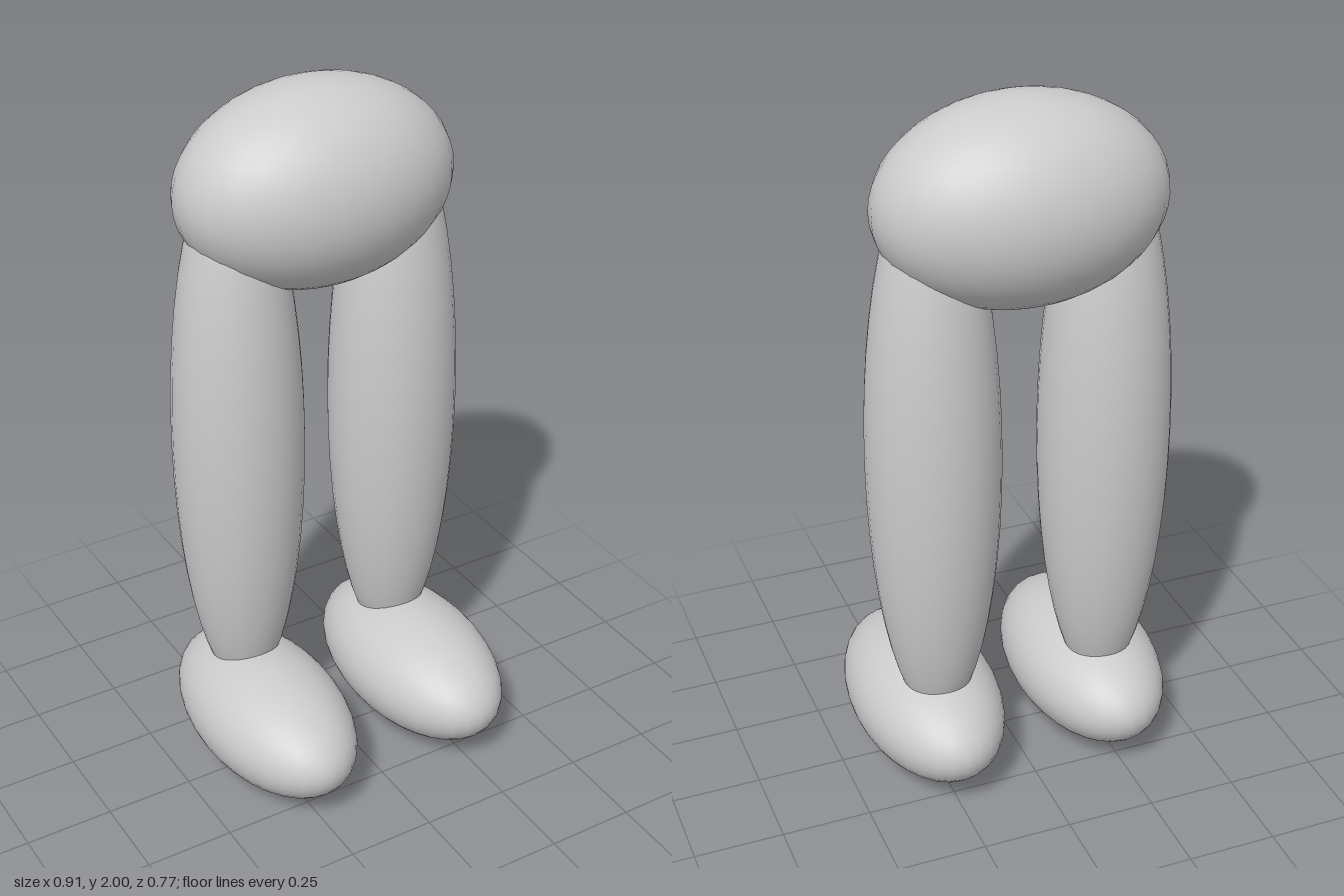
import * as THREE from 'three';

export function createModel() {
  const group = new THREE.Group();
  const material = new THREE.MeshStandardMaterial({ color: 0xcccccc });
  const sphere = new THREE.SphereGeometry(1, 32, 24);

  // A smooth ellipsoid given by its centre and its three radii
  const ellipsoid = (name, centre, radii) => {
    const mesh = new THREE.Mesh(sphere, material);
    mesh.name = name;
    mesh.position.set(...centre);
    mesh.scale.set(...radii);
    group.add(mesh);
  };

  ellipsoid('pelvis', [0, 1.722, -0.118], [0.395, 0.278, 0.267]);

  // Mirrored legs and feet
  for (const [side, s] of [['left', 1], ['right', -1]]) {
    ellipsoid(`${side}Leg`, [s * 0.245, 1.02, -0.116], [0.184, 0.83, 0.173]);
    ellipsoid(`${side}Foot`, [s * 0.247, 0.176, 0.01], [0.208, 0.174, 0.375]);
  }

  return group;
}
